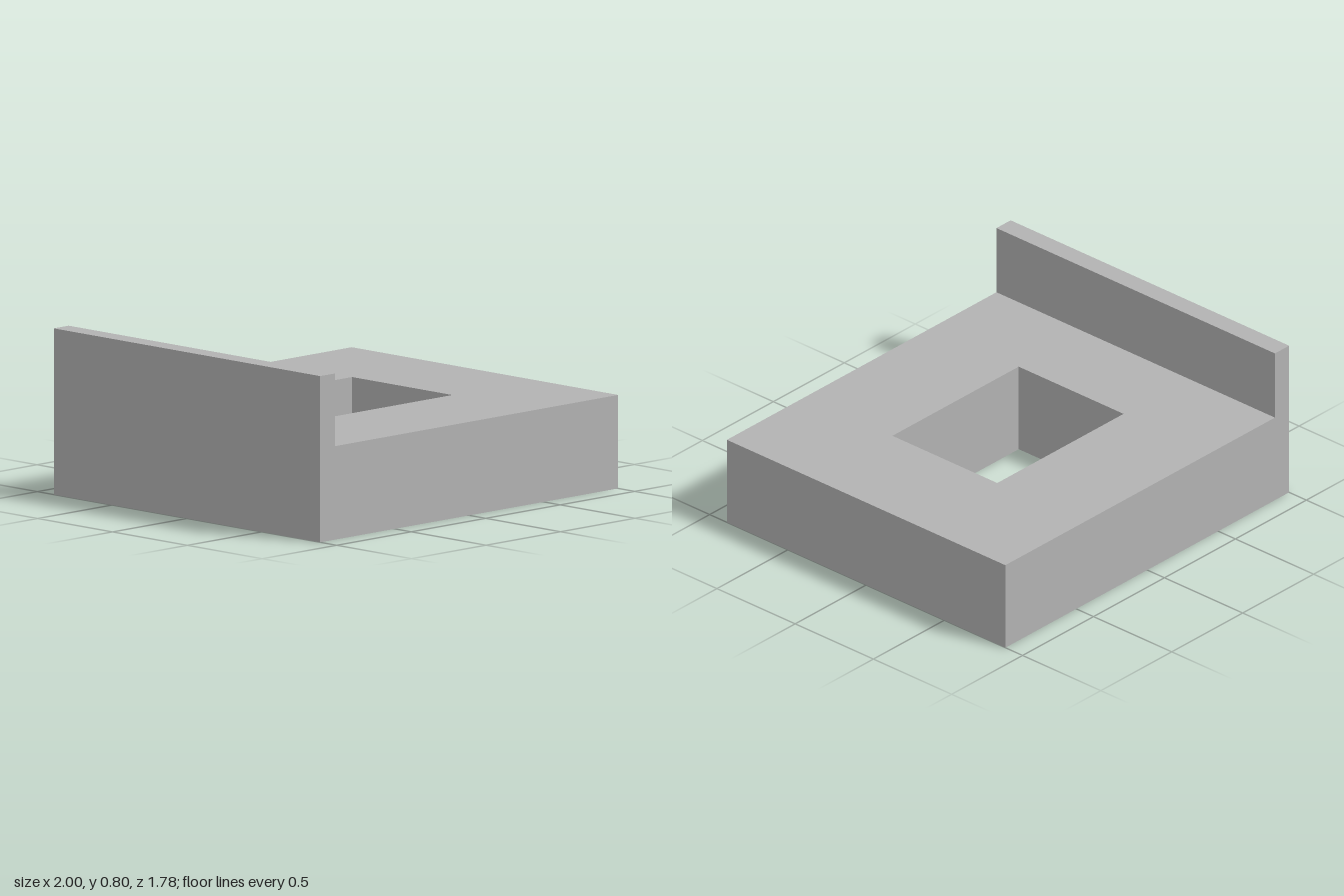
import * as THREE from 'three';

const WIDTH = 2, DEPTH = 1.78, SLAB_HEIGHT = 0.45, LIP_HEIGHT = 0.35, LIP_WIDTH = 0.1;

// Corner points of a centred rectangle
function rectangle(w, d) {
  return [[-1, -1], [1, -1], [1, 1], [-1, 1]].map(([x, y]) => new THREE.Vector2(x * w / 2, y * d / 2));
}

export function createModel() {
  const model = new THREE.Group();
  model.name = 'lippedBlock';
  const grey = new THREE.MeshStandardMaterial({ color: 0xb2b2b2 });
  grey.name = 'grey';

  // Thick slab with a rectangular opening right through it
  const outline = new THREE.Shape(rectangle(WIDTH, DEPTH));
  outline.holes.push(new THREE.Path(rectangle(0.89, 0.67).reverse()));
  const slabGeometry = new THREE.ExtrudeGeometry(outline, { depth: SLAB_HEIGHT, bevelEnabled: false });
  slabGeometry.rotateX(-Math.PI / 2);
  const slab = new THREE.Mesh(slabGeometry, grey);
  slab.name = 'slab';
  model.add(slab);

  // Upright lip along one side edge
  const lip = new THREE.Mesh(new THREE.BoxGeometry(LIP_WIDTH, LIP_HEIGHT, DEPTH), grey);
  lip.name = 'sideLip';
  lip.position.set(-WIDTH / 2 + LIP_WIDTH / 2, SLAB_HEIGHT + LIP_HEIGHT / 2, 0);
  model.add(lip);

  return model;
}
